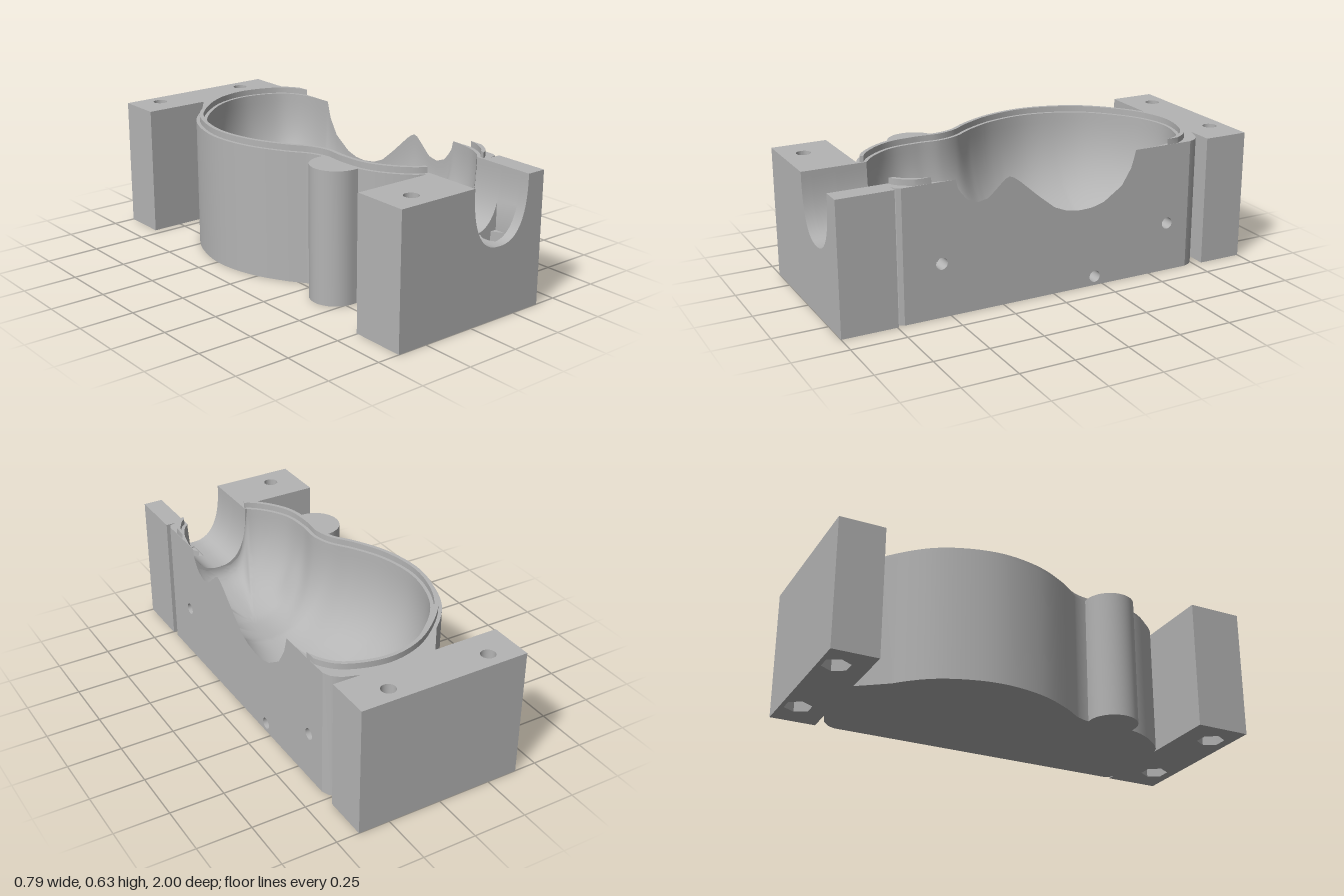
import * as THREE from 'three';
import { mergeVertices, toCreasedNormals } from 'three/addons/utils/BufferGeometryUtils.js';

const TOP = 0.605, SLAB = 0.32, SIDE = 0.39;
const V = (x, y) => new THREE.Vector2(x, y);
const vecs = (list) => list.map(([x, y]) => V(x, y));

// Linear lookup in a short table of [position, value], ascending
function lookup(table, s) {
  if (s <= table[0][0]) return table[0][1];
  for (let i = 1; i < table.length; i++) {
    const [a, va] = table[i - 1], [b, vb] = table[i];
    if (s <= b) return va + (vb - va) * (s - a) / (b - a);
  }
  return table[table.length - 1][1];
}

// Height of the side opening along z, and of the cavity floor along z
const opening = [[-0.41, TOP], [-0.39, 0.53], [-0.34, 0.45], [-0.25, 0.39], [-0.19, 0.373], [-0.13, 0.37],
  [-0.06, 0.38], [0, 0.405], [0.08, 0.47], [0.17, 0.55], [0.2, 0.572], [0.22, 0.58], [0.24, 0.572],
  [0.27, 0.545], [0.32, 0.5], [0.37, 0.49], [0.42, 0.51], [0.46, 0.56], [0.47, TOP]];
const floorLine = [[-0.6, 0.14], [-0.4, 0.1], [-0.1, 0.1], [0.05, 0.13], [0.2, 0.18], [0.4, 0.17], [0.6, 0.2]];

// Round-bottomed pouring channel
const CH0 = -0.005, CH1 = 0.305;
const channelY = (x) => {
  const u = Math.min(1, Math.abs((x - 0.15) / 0.155));
  return TOP - 0.28 * Math.pow(1 - Math.pow(u, 2.5), 0.4);
};

function shapeOf(points, holes = []) {
  const s = new THREE.Shape(points);
  holes.forEach((h) => s.holes.push(new THREE.Path(h)));
  return s;
}
const ring = (x, y, r, n) => Array.from({ length: n }, (_, i) =>
  V(x + r * Math.cos(i / n * 2 * Math.PI), y + r * Math.sin(i / n * 2 * Math.PI)));

// Footprint in x,z raised from y0 to y1
function prism(points, y0, y1, holes) {
  const g = new THREE.ExtrudeGeometry(shapeOf(points, holes), { depth: y1 - y0, bevelEnabled: false });
  return toCreasedNormals(g.rotateX(Math.PI / 2).translate(0, y1, 0), 0.5);
}
const sheet = (points, y) => new THREE.ShapeGeometry(shapeOf(points)).rotateX(Math.PI / 2).translate(0, y, 0);
const rect = (x0, x1, z0, z1) => vecs([[x0, z0], [x1, z0], [x1, z1], [x0, z1]]);

// Skin through rows of [x, y, z] points
function skin(rows, crease) {
  const n = rows[0].length, idx = [];
  for (let r = 0; r < rows.length - 1; r++) for (let i = 0; i < n - 1; i++) {
    const a = r * n + i;
    idx.push(a, a + 1, a + n, a + 1, a + n + 1, a + n);
  }
  const g = new THREE.BufferGeometry();
  g.setAttribute('position', new THREE.Float32BufferAttribute(rows.flat(2), 3));
  g.setIndex(idx);
  return toCreasedNormals(mergeVertices(g), crease);
}

export function createModel() {
  const model = new THREE.Group();
  const grey = new THREE.MeshStandardMaterial({ color: 0xb4b4b4, side: THREE.DoubleSide });
  grey.name = 'mould grey';
  const add = (name, geometry) => {
    const m = new THREE.Mesh(geometry, grey);
    m.name = name;
    model.add(m);
  };

  // Cavity rim seen from above, running back, left, front, right
  const curve = new THREE.CatmullRomCurve3([
    [SIDE, -0.41], [0.383, -0.53], [0.355, -0.62], [0.295, -0.69], [0.13, -0.74], [-0.02, -0.71], [-0.155, -0.62],
    [-0.265, -0.5], [-0.325, -0.36], [-0.345, -0.22], [-0.315, -0.05], [-0.245, 0.095], [-0.175, 0.2],
    [-0.15, 0.29], [-0.155, 0.4], [-0.14, 0.53], [-0.08, 0.635], [CH0, 0.7], [0.08, 0.706], [0.15, 0.707],
    [0.22, 0.706], [CH1, 0.7], [0.352, 0.64], [0.38, 0.55], [SIDE, 0.47], [SIDE, 0.35], [SIDE, 0.2],
    [SIDE, 0], [SIDE, -0.2], [SIDE, -0.33],
  ].map(([x, z]) => new THREE.Vector3(x, 0, z)), true, 'centripetal');
  const N = 320;
  const rim = curve.getSpacedPoints(N).map((p) => V(Math.min(p.x, SIDE), p.z));
  const offset = (d) => rim.map((p, i) => {
    const t = rim[(i + 1) % N].clone().sub(rim[(i - 1 + N) % N]).normalize();
    return V(p.x - t.y * d, p.y + t.x * d);
  });
  const isFront = (p) => p.y > 0.6 && p.x > CH0 && p.x < CH1;
  const isRightFront = (p) => p.y > 0.45 && p.x >= CH1 && p.x < SIDE - 0.0005;
  const isMain = (p) => p.x < SIDE - 0.0005 && !isFront(p) && !isRightFront(p);

  // Hollow: rim rings closing on a line along the floor
  const bumps = [[0.31, -0.57], [0.33, 0.5], [-0.12, 0.42]];
  const rows = [];
  for (let k = 0; k <= 28; k++) {
    const a = k / 28 * Math.PI / 2;
    const r = Math.pow(Math.max(0, Math.cos(a)), 0.83), d = Math.pow(Math.sin(a), 0.83);
    rows.push(rim.map((p) => {
      let y0 = TOP;
      if (isFront(p)) y0 = channelY(p.x);
      else if (p.x > 0.385) y0 = lookup(opening, p.y);
      const x = 0.13 + (p.x - 0.13) * r, z = p.y * (0.55 + 0.45 * r);
      let y = y0 + (lookup(floorLine, z) - y0) * d;
      for (const [bx, bz] of bumps) y += 0.05 * d * Math.exp(-((x - bx) ** 2 + (z - bz) ** 2) / 0.004);
      return [x, y, z];
    }));
  }
  add('cavity', skin(rows, 1.2));

  // Body outline from above
  const left = offset(0.05).filter((p) => p.x < 0 && p.y > -0.66 && p.y < 0.74);
  const backEdge = vecs([[SIDE, -0.7], [0.375, -0.735], [0.34, -0.765], [0.27, -0.79], [-0.09, -0.79]]);
  const frontRight = vecs([[0.35, 0.745], [0.38, 0.735], [SIDE, 0.715]]);
  const around = [...backEdge, ...left, V(-0.02, 0.745)];
  add('bodyBase', sheet([...around, ...frontRight], 0));
  const wall = (pts) => skin([0, TOP].map((y) => pts.map((p) => [p.x, y, p.y])), 0.5);
  add('bodyWall', wall(around));
  add('bodyCornerWall', wall([V(0.32, 0.745), ...frontRight]));

  // Flat ledge around the hollow
  add('ledge', sheet([...around, V(CH0, 0.745), ...rim.filter(isMain).reverse(), V(SIDE, -0.41)], TOP));
  add('cornerLedge', sheet([V(CH1, 0.745), ...frontRight, V(SIDE, 0.47),
    ...rim.filter(isRightFront).reverse()], TOP));

  // Raised sealing ridge
  const inner = offset(0.016), outer = offset(0.034);
  for (const [name, test] of [['sealRidge', isMain], ['cornerSealRidge', isRightFront]]) {
    add(name, prism([...outer.filter(test), ...inner.filter(test).reverse()], TOP, 0.632));
  }

  // Flat side with the opening and three small bores
  const bores = [[0.54, 0.245, 0.08], [-0.59, 0.23, 0.08], [-0.21, 0.042, 0.1]];
  const panel = [V(-0.7, 0), V(-0.7, TOP), ...vecs(opening), V(0.715, TOP), V(0.715, 0)];
  add('sidePanel', new THREE.ShapeGeometry(shapeOf(panel, bores.map(([z, y]) => ring(z, y, 0.027, 20))))
    .rotateY(-Math.PI / 2).translate(SIDE, 0, 0));
  for (const [z, y, len] of bores) {
    add('sideBore', new THREE.CylinderGeometry(0.027, 0.027, len, 20, 1, true)
      .rotateZ(Math.PI / 2).translate(SIDE - len / 2, y, z));
  }

  // Half-round boss on the right flank
  const boss = [V(-0.18, 0.51)];
  for (let i = 0; i <= 24; i++) {
    const a = Math.PI / 2 + i / 24 * Math.PI;
    boss.push(V(-0.22 + 0.115 * Math.cos(a), 0.395 + 0.115 * Math.sin(a)));
  }
  boss.push(V(-0.18, 0.28));
  add('boss', prism(boss, 0, TOP));

  // Clamping blocks: hexagonal nut pockets below, bolt holes above
  const boltX = [-0.255, 0.225];
  const W = 0.395;
  const hexes = (z) => boltX.map((x) => ring(x, z, 0.063, 6));
  add('backBlockLower', prism(rect(-W, W, -1, -0.79), 0, SLAB, hexes(-0.925)));
  add('backBlockUpper', prism(rect(-W, W, -1, -0.79), SLAB, TOP, boltX.map((x) => ring(x, -0.925, 0.033, 24))));
  add('frontBlockLower', prism(rect(-W, W, 0.745, 1), 0, SLAB, hexes(0.9)));
  add('frontBlockLeft', prism(rect(0.33, W, 0.745, 1), SLAB, TOP));
  add('frontBlockRight', prism(rect(-W, -0.03, 0.745, 1), SLAB, TOP, [ring(boltX[0], 0.9, 0.033, 24)]));

  // Channel bed, left open over the nut pocket
  function bed(x0, x1, z0, z1) {
    const pts = [V(x0, SLAB), V(x0, x0 < CH0 ? TOP : channelY(x0))];
    for (let i = 0; i <= 48; i++) {
      const c = -Math.cos(i / 48 * Math.PI);
      const x = 0.15 + 0.155 * Math.sign(c) * Math.pow(Math.abs(c), 0.8);
      if (x > x0 && x < x1) pts.push(V(x, channelY(x)));
    }
    pts.push(V(x1, x1 > CH1 ? TOP : channelY(x1)), V(x1, SLAB));
    const g = new THREE.ExtrudeGeometry(shapeOf(pts), { depth: z1 - z0, bevelEnabled: false });
    add('channelBed', toCreasedNormals(g.translate(0, 0, z0), 0.5));
  }
  bed(-0.03, 0.33, 0.705, 0.846);
  bed(-0.03, 0.163, 0.846, 0.954);
  bed(0.287, 0.33, 0.846, 0.954);
  bed(-0.03, 0.33, 0.954, 1);

  return model;
}
